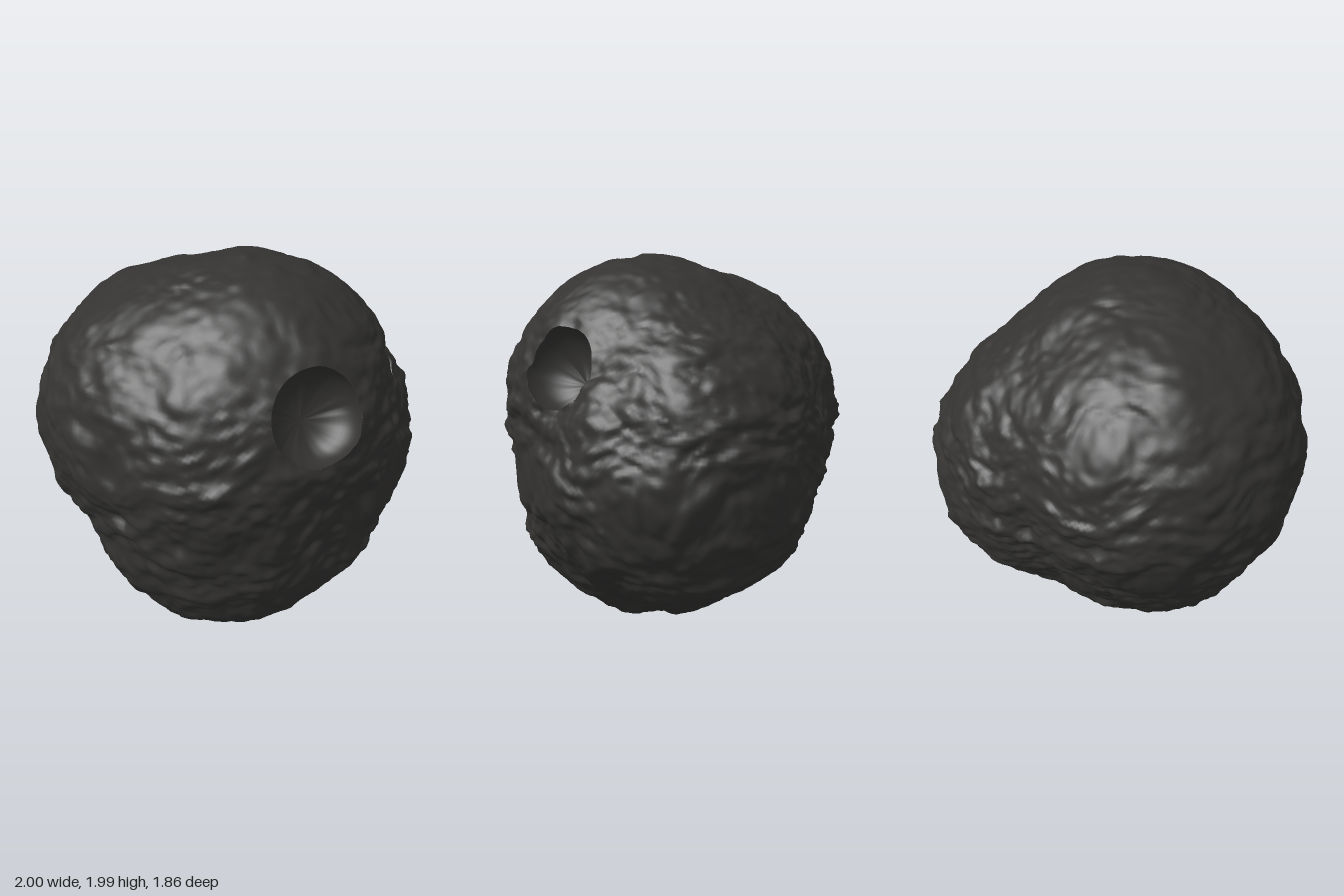
import * as THREE from 'three';
import { mergeVertices } from 'three/addons/utils/BufferGeometryUtils.js';

// Overlapping lumps that make up the boulder: x, y, z (y from the middle), radius
const LUMPS = [
  [-0.22, 0.14, -0.17, 0.77], // back
  [-0.12, 0.22, 0.14, 0.77], // crown and brow
  [-0.27, 0.2, 0, 0.71], // right shoulder
  [0.17, 0.06, 0.02, 0.71], // left shoulder
  [0.29, -0.1, 0.1, 0.7], // left side
  [-0.32, 0.1, 0.13, 0.67], // right side
  [-0.19, -0.25, 0.06, 0.74], // base
  [0, -0.2, 0.21, 0.65], // lower front
];
const SOCKETS = [[-0.46, 0.44, 0.78], [0.35, 0.435, 0.72]].map((p) => new THREE.Vector3(...p).normalize());
const RIM = 0.226; // angular radius of a socket
const DEPTH = 0.18;

// Seeded value noise
function hash(x, y, z) {
  let h = Math.imul(x, 374761393) ^ Math.imul(y, 668265263) ^ Math.imul(z, 1274126177);
  h = Math.imul(h ^ (h >>> 13), 1103515245);
  return ((h ^ (h >>> 16)) >>> 0) / 4294967295;
}
function noise(x, y, z) {
  const ix = Math.floor(x), iy = Math.floor(y), iz = Math.floor(z);
  const s = (t) => t * t * (3 - 2 * t);
  const u = s(x - ix), v = s(y - iy), w = s(z - iz);
  const mix = THREE.MathUtils.lerp;
  const row = (j, k) => mix(hash(ix, iy + j, iz + k), hash(ix + 1, iy + j, iz + k), u);
  return mix(mix(row(0, 0), row(1, 0), v), mix(row(0, 1), row(1, 1), v), w) * 2 - 1;
}

// Distance from the middle to the rock surface along direction d
function radius(d) {
  const k = 0.03;
  let sum = 0;
  for (const [x, y, z, r] of LUMPS) {
    const b = d.x * x + d.y * y + d.z * z;
    const disc = b * b - (x * x + y * y + z * z) + r * r;
    sum += Math.exp((b + Math.sqrt(Math.max(disc, 0))) / k);
  }
  // rough, horizontally stretched creases, calmer towards the top
  const rough = 0.022 - 0.01 * THREE.MathUtils.smoothstep(d.y, 0.1, 0.9);
  const warp = noise(d.x * 3 + 9, d.y * 3, d.z * 3) * 0.15;
  let bumps = 0, amp = 1, f = 6;
  for (let o = 0; o < 3; o++, amp *= 0.6, f *= 2) {
    bumps += amp * noise(d.x * f + 31, (d.y + warp) * f * 1.6 + 17, d.z * f + 53);
  }
  return k * Math.log(sum) - 0.01 + rough * bumps;
}

// Boulder skin with round openings for the sockets
function buildRock() {
  let geo = new THREE.IcosahedronGeometry(1, 62);
  geo.deleteAttribute('normal');
  geo.deleteAttribute('uv');
  geo = mergeVertices(geo, 1e-5);
  const pos = geo.attributes.position;
  const d = new THREE.Vector3();
  const inside = [];
  for (let i = 0; i < pos.count; i++) {
    d.fromBufferAttribute(pos, i).normalize();
    for (const axis of SOCKETS) {
      const a = d.angleTo(axis);
      if (Math.abs(a - RIM) < 0.012) {
        // pull nearby vertices exactly onto the rim
        const side = d.clone().addScaledVector(axis, -d.dot(axis)).normalize();
        d.copy(axis).multiplyScalar(Math.cos(RIM)).addScaledVector(side, Math.sin(RIM));
        inside[i] = true;
      } else if (a < RIM) inside[i] = true;
    }
    d.multiplyScalar(radius(d));
    pos.setXYZ(i, d.x, d.y, d.z);
  }
  const kept = [], idx = geo.index.array;
  for (let i = 0; i < idx.length; i += 3) {
    const [a, b, c] = [idx[i], idx[i + 1], idx[i + 2]];
    if (!(inside[a] && inside[b] && inside[c])) kept.push(a, b, c);
  }
  geo.setIndex(kept);
  return geo;
}

// Smooth bowl that starts at the rough rim and sinks inward
function buildSocket(axis) {
  const seg = 72, rings = 14;
  const u = new THREE.Vector3(0, 1, 0).cross(axis).normalize();
  const v = axis.clone().cross(u);
  const rim = [], centre = new THREE.Vector3();
  for (let i = 0; i < seg; i++) {
    const p = (i / seg) * Math.PI * 2;
    const d = axis.clone().multiplyScalar(Math.cos(RIM))
      .addScaledVector(u, Math.sin(RIM) * Math.cos(p))
      .addScaledVector(v, Math.sin(RIM) * Math.sin(p));
    rim.push(d.multiplyScalar(radius(d)));
    centre.addScaledVector(d, 1 / seg);
  }
  const verts = [], index = [];
  for (let k = 0; k < rings; k++) {
    const t = (k / rings) * Math.PI / 2;
    rim.forEach((p, i) => {
      const q = centre.clone().lerp(p, Math.cos(t)).addScaledVector(axis, -DEPTH * Math.sin(t));
      verts.push(q.x, q.y, q.z);
      const a = k * seg + i, b = k * seg + (i + 1) % seg;
      if (k < rings - 1) index.push(a, b, a + seg, b, b + seg, a + seg);
      else index.push(a, b, rings * seg);
    });
  }
  // single vertex at the bottom
  const bottom = centre.addScaledVector(axis, -DEPTH);
  verts.push(bottom.x, bottom.y, bottom.z);
  const geo = new THREE.BufferGeometry();
  geo.setAttribute('position', new THREE.Float32BufferAttribute(verts, 3));
  geo.setIndex(index);
  return geo;
}

export function createModel() {
  const group = new THREE.Group();
  group.name = 'boulderHead';
  const material = new THREE.MeshStandardMaterial({ color: 0x343332, side: THREE.DoubleSide });
  const rock = buildRock();
  rock.computeBoundingBox();
  // centre and stand on the ground
  const shift = rock.boundingBox.getCenter(new THREE.Vector3()).negate();
  shift.y = -rock.boundingBox.min.y;

  const parts = [['rock', rock], ['rightSocket', buildSocket(SOCKETS[0])], ['leftSocket', buildSocket(SOCKETS[1])]];
  for (const [name, geo] of parts) {
    geo.translate(shift.x, shift.y, shift.z);
    geo.computeVertexNormals();
    const mesh = new THREE.Mesh(geo, material);
    mesh.name = name;
    group.add(mesh);
  }
  return group;
}
